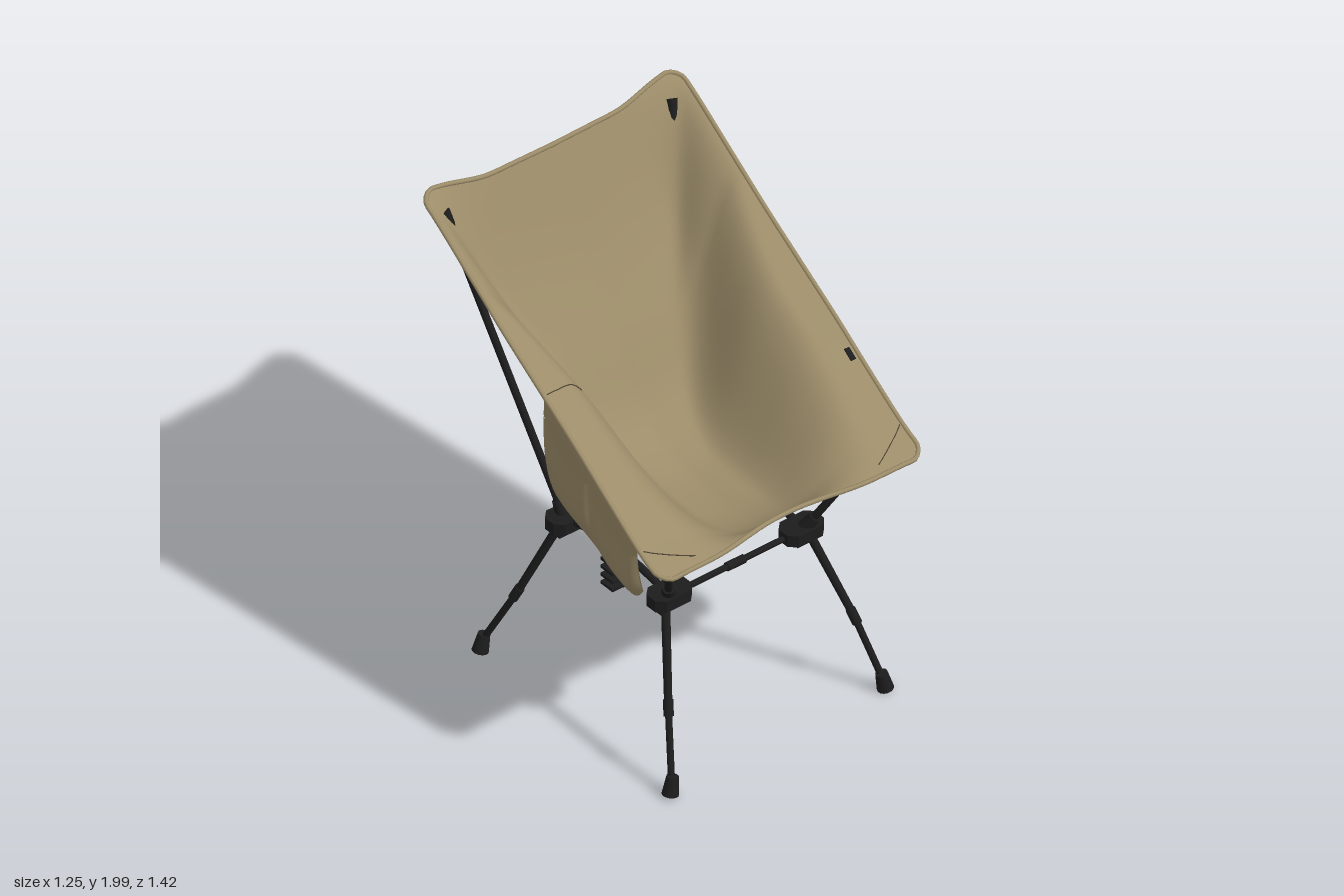
import * as THREE from 'three';

const V = (x, y, z) => new THREE.Vector3(x, y, z);
const fabric = new THREE.MeshStandardMaterial({ color: 0x9c8c69, side: THREE.DoubleSide });
fabric.name = 'khaki fabric';
const black = new THREE.MeshStandardMaterial({ color: 0x1d1d1e });
black.name = 'black frame';
const stitch = new THREE.MeshStandardMaterial({ color: 0x4a4232 });
stitch.name = 'dark stitching';

function add(parent, name, geometry, material) {
  const mesh = new THREE.Mesh(geometry, material);
  mesh.name = name;
  parent.add(mesh);
  return mesh;
}

function box(parent, name, size, pos, material = black) {
  const mesh = add(parent, name, new THREE.BoxGeometry(...size), material);
  mesh.position.set(...pos);
  return mesh;
}

// Cylinder running from a (radius ra) to b (radius rb)
function rod(parent, name, a, b, ra, rb = ra) {
  const d = b.clone().sub(a);
  const mesh = add(parent, name, new THREE.CylinderGeometry(rb, ra, d.length(), 14), black);
  mesh.position.copy(a).addScaledVector(d, 0.5);
  mesh.quaternion.setFromUnitVectors(V(0, 1, 0), d.normalize());
  return mesh;
}

function tube(parent, name, points, r, material, closed = false) {
  const curve = new THREE.CatmullRomCurve3(points, closed);
  return add(parent, name, new THREE.TubeGeometry(curve, points.length * 2, r, 8, closed), material);
}

// Smooth sheet from a function of (u, v)
function sheet(fn, nu, nv) {
  const pos = [], index = [];
  for (let j = 0; j <= nv; j++)
    for (let i = 0; i <= nu; i++) {
      pos.push(...fn(i / nu, j / nv).toArray());
      if (i < nu && j < nv) {
        const a = j * (nu + 1) + i, b = a + nu + 1;
        index.push(a, a + 1, b, b, a + 1, b + 1);
      }
    }
  const g = new THREE.BufferGeometry();
  g.setAttribute('position', new THREE.Float32BufferAttribute(pos, 3));
  g.setIndex(index);
  g.computeVertexNormals();
  return g;
}

// Seat guides, front to back: side edge, and centre line (x holds the half width of its flat part)
const edge = new THREE.CatmullRomCurve3([
  V(0, 1.07, 0.70), V(0, 1.13, 0.58), V(0, 1.25, 0.40), V(0, 1.39, 0.20), V(0, 1.52, 0),
  V(0, 1.65, -0.20), V(0, 1.79, -0.40), V(0, 1.93, -0.60), V(0, 1.99, -0.70)]);
const centre = new THREE.CatmullRomCurve3([
  V(0.05, 1.06, 0.645), V(0.12, 0.97, 0.55), V(0.17, 0.92, 0.42), V(0.19, 0.905, 0.25), V(0.20, 0.925, 0.05),
  V(0.28, 1.02, -0.13), V(0.42, 1.27, -0.30), V(0.62, 1.57, -0.49), V(0.50, 1.945, -0.675)]);

// s runs -1..1 across the seat, t runs 0..1 from front to back
function seatPoint(s, t) {
  const e = edge.getPoint(t), c = centre.getPoint(t), a = Math.abs(s);
  const rise = 0.85 * THREE.MathUtils.smoothstep(a, c.x, Math.min(1, c.x + 0.62)) + 0.15 * a;
  const corner = Math.max(0, 1 - Math.min(t, 1 - t) / 0.05);
  const half = 0.606 - 0.012 * t - 0.045 * corner * corner;
  return V(0.016 + half * s, c.y + (e.y - c.y) * rise, c.z + (e.z - c.z) * rise);
}

function seatLine(s0, t0, s1, t1, n) {
  return Array.from({ length: n }, (_, i) =>
    seatPoint(s0 + (s1 - s0) * i / n, t0 + (t1 - t0) * i / n));
}

function buildSeat(parent) {
  const seat = new THREE.Group();
  seat.name = 'seat';
  parent.add(seat);
  add(seat, 'seatFabric', sheet((u, v) => seatPoint(2 * u - 1, v), 64, 64), fabric);
  // Bound hem around the whole edge
  const rim = [...seatLine(-1, 0, 1, 0, 24), ...seatLine(1, 0, 1, 1, 40),
    ...seatLine(1, 1, -1, 1, 24), ...seatLine(-1, 1, -1, 0, 40)];
  tube(seat, 'hem', rim, 0.009, fabric, true);
  // Stitched seams and a small side tag
  const lift = (p) => p.add(V(0, 0.002, 0));
  for (const s of [-1, 1])
    tube(seat, 'cornerSeam', seatLine(s * 0.98, 0.13, s * 0.66, 0.025, 8).map(lift), 0.002, stitch);
  tube(seat, 'pocketSeam', seatLine(-0.98, 0.49, -0.66, 0.5, 8).map(lift), 0.002, stitch);
  const tag = box(seat, 'sideTag', [0.022, 0.008, 0.05], seatPoint(0.95, 0.305).toArray());
  tag.rotation.x = 0.62;
}

// Two-cell pocket hanging under the right edge
function buildPocket(parent) {
  const pocket = new THREE.Group();
  pocket.name = 'sidePocket';
  parent.add(pocket);
  const panel = (u, v) => {
    const end = Math.max(0, Math.abs(2 * u - 1) - 0.75) / 0.25;
    const top = 1.135 + 0.375 * u, bottom = 0.865 + 0.23 * u + 0.07 * end * end;
    return V(-0.588 + 0.028 * v * v, top + (bottom - top) * v, 0.555 - 0.535 * u);
  };
  add(pocket, 'pocketBack', sheet(panel, 24, 12), fabric);
  add(pocket, 'pocketCells', sheet((u, w) => {
    const cell = Math.sqrt(Math.abs(Math.sin(2 * Math.PI * u)));
    const v0 = 0.12 + 0.13 * cell;
    const p = panel(u, v0 + (1 - v0) * w);
    p.x -= 0.004 + (0.022 + 0.03 * w) * cell * (1 - w ** 4);
    return p;
  }, 40, 16), fabric);
  // Gusset joining the rear end to the seat
  const a = V(-0.585, 1.5, 0.02), b = V(-0.40, 1.45, 0), c = V(-0.56, 1.12, 0.03);
  add(pocket, 'pocketGusset', sheet((u, v) => a.clone().lerp(b.clone().lerp(c, u), v), 4, 4), fabric);
}

// Eight-sided hub plate
function hubGeometry(w, d, h) {
  const k = 0.03, x = w / 2, z = d / 2;
  const shape = new THREE.Shape([[x - k, -z], [x, -z + k], [x, z - k], [x - k, z],
    [-x + k, z], [-x, z - k], [-x, -z + k], [-x + k, -z]].map(p => new THREE.Vector2(...p)));
  const g = new THREE.ExtrudeGeometry(shape, { depth: h, bevelEnabled: false });
  return g.rotateX(-Math.PI / 2).translate(0, -h / 2, 0);
}

function buildFrame(parent) {
  const frame = new THREE.Group();
  frame.name = 'frame';
  frame.position.x = 0.013;
  parent.add(frame);

  const corners = [
    { n: 'front', hub: 0.37, knee: 0.52, foot: 0.613, tip: V(0.49, 1.11, 0.59) },
    { n: 'rear', hub: -0.21, knee: -0.35, foot: -0.472, tip: V(0.525, 1.92, -0.642) }];

  for (const { n, hub, knee, foot, tip } of corners) {
    const out = Math.sign(hub);
    for (const s of [-1, 1]) {
      // Hub with raised collar
      add(frame, n + 'Hub', hubGeometry(0.17, 0.11, 0.05), black).position.set(s * 0.305, 0.68, hub);
      box(frame, n + 'HubBase', [0.11, 0.03, 0.07], [s * 0.315, 0.65, hub]);
      // Leg with sleeve joint and rubber foot
      const top = V(s * 0.33, 0.66, hub + out * 0.01);
      const mid = V(s * 0.43, 0.31, knee);
      const low = V(s * 0.482, 0.08, foot - out * 0.012);
      rod(frame, n + 'LegUpper', top, mid, 0.017, 0.015);
      rod(frame, n + 'LegLower', mid, low, 0.013);
      rod(frame, n + 'LegSleeve', mid.clone().lerp(top, 0.09), mid.clone().lerp(low, 0.1), 0.019);
      rod(frame, n + 'Foot', V(s * 0.497, 0.012, foot), V(s * 0.482, 0.085, foot - out * 0.004), 0.032, 0.023);
      // Upright pole with socket and end cap
      const base = V(s * 0.315, 0.69, hub + out * 0.01);
      const end = V(s * tip.x, tip.y, tip.z);
      const dir = end.clone().sub(base).normalize();
      rod(frame, n + 'Upright', base, end, 0.015);
      rod(frame, n + 'UprightSocket', base, base.clone().addScaledVector(dir, 0.065), 0.03, 0.022);
      rod(frame, n + 'UprightCap', end.clone().addScaledVector(dir, -0.09), end, 0.021);
    }
    // Cross bar
    rod(frame, n + 'CrossBar', V(-0.25, 0.675, hub), V(0.25, 0.675, hub), 0.012);
    rod(frame, n + 'CrossBarSleeve', V(-0.04, 0.675, hub), V(0.04, 0.675, hub), 0.017);
  }

  // Arched side bars, each with a toothed hanger
  for (const s of [-1, 1]) {
    const x = s * 0.31;
    tube(frame, 'sideBar', [V(x, 0.685, 0.37), V(x, 0.71, 0.22), V(x, 0.722, 0.08),
      V(x, 0.71, -0.06), V(x, 0.685, -0.21)], 0.015, black);
    box(frame, 'sideBarBlock', [0.06, 0.045, 0.08], [x, 0.717, 0.08]);
    box(frame, 'hangerSpine', [0.016, 0.15, 0.07], [s * 0.302, 0.635, 0.08]);
    for (let i = 0; i < 4; i++)
      box(frame, 'hangerTooth', [0.06, 0.012, 0.07], [s * 0.33, 0.568 + i * 0.036, 0.08]);
  }
}

export function createModel() {
  const model = new THREE.Group();
  model.name = 'campChair';
  buildSeat(model);
  buildPocket(model);
  buildFrame(model);
  return model;
}
